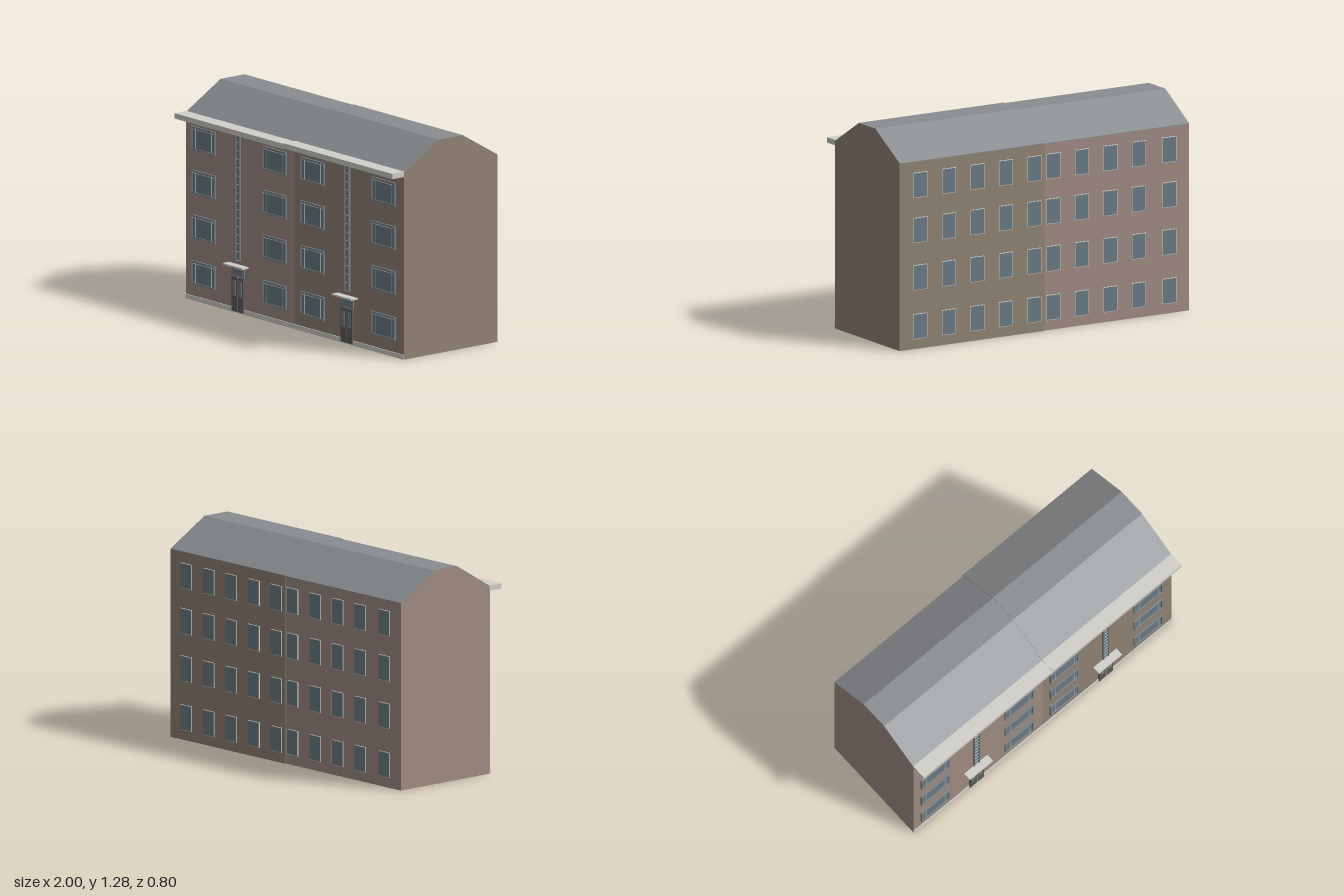
import * as THREE from 'three';

const mat = (color) => new THREE.MeshStandardMaterial({ color });
const M = {
  pink: mat(0xa08c83), tan: mat(0x918374), roof: mat(0x8a8d90), stone: mat(0xd0cfc9),
  glass: mat(0x6b7b84), frame: mat(0x7c8587), bar: mat(0xb4bcbe), door: mat(0x5e5c5b),
};
const FRONT = 0.31;

// Box given by its limits on each axis
function block(name, material, [x0, x1], [y0, y1], [z0, z1]) {
  const mesh = new THREE.Mesh(new THREE.BoxGeometry(x1 - x0, y1 - y0, z1 - z0), material);
  mesh.position.set((x0 + x1) / 2, (y0 + y1) / 2, (z0 + z1) / 2);
  mesh.name = name;
  return mesh;
}

// Extrudes a side profile of [z, y] points along x
function alongX(name, material, points, x0, x1) {
  const shape = new THREE.Shape(points.map(([z, y]) => new THREE.Vector2(-z, y)));
  const geometry = new THREE.ExtrudeGeometry(shape, { depth: x1 - x0, bevelEnabled: false });
  geometry.rotateY(Math.PI / 2).translate(x0, 0, 0);
  const mesh = new THREE.Mesh(geometry, material);
  mesh.name = name;
  return mesh;
}

// Wide street window: raised surround, glass and slim glazing bars
function frontWindow(x, y) {
  const g = new THREE.Group();
  g.name = 'frontWindow';
  const w = 0.22, h = 0.14, t = 0.009;
  const z = [FRONT - 0.005, FRONT + 0.011];
  g.add(block('glass', M.glass, [x, x + w], [y, y + h], [FRONT - 0.005, FRONT + 0.005]));
  g.add(block('sill', M.frame, [x, x + w], [y, y + t], z));
  g.add(block('head', M.frame, [x, x + w], [y + h - t, y + h], z));
  for (const sx of [x, x + w - t]) g.add(block('jamb', M.frame, [sx, sx + t], [y + t, y + h - t], z));
  for (const bx of [0.035, 0.182]) {
    g.add(block('mullion', M.bar, [x + bx, x + bx + 0.004], [y + t, y + h - t], [FRONT, FRONT + 0.008]));
  }
  g.add(block('transomBar', M.bar, [x + t, x + w - t], [y + h - 0.018, y + h - 0.015], [FRONT, FRONT + 0.008]));
  return g;
}

// Small rear window: shallow raised box with glass on its face
function backWindow(x, y, wallZ) {
  const g = new THREE.Group();
  g.name = 'backWindow';
  const w = 0.096, h = 0.15;
  g.add(block('frame', M.stone, [x - w / 2, x + w / 2], [y, y + h], [wallZ - 0.006, wallZ + 0.004]));
  g.add(block('glass', M.glass, [x - w / 2 + 0.003, x + w / 2 - 0.003], [y + 0.003, y + h - 0.003],
    [wallZ - 0.007, wallZ + 0.004]));
  return g;
}

// Doors, transom light, canopy and the tall stair window above
function entrance(x) {
  const g = new THREE.Group();
  g.name = 'entrance';
  const z0 = FRONT - 0.005;
  for (const s of [-1, 1]) {
    const edges = [x + s * 0.003, x + s * 0.053].sort((a, b) => a - b);
    g.add(block('doorLeaf', M.door, edges, [0.008, 0.215], [z0, FRONT + 0.012]));
    g.add(block('doorPanel', M.frame, [x + s * 0.028 - 0.014, x + s * 0.028 + 0.014], [0.1, 0.195],
      [z0, FRONT + 0.0135]));
  }
  g.add(block('doorStrip', M.bar, [x - 0.003, x + 0.003], [0.008, 0.215], [z0, FRONT + 0.01]));
  g.add(block('transomFrame', M.frame, [x - 0.056, x + 0.056], [0.22, 0.272], [z0, FRONT + 0.009]));
  g.add(block('transomGlass', M.glass, [x - 0.048, x + 0.048], [0.228, 0.264], [z0, FRONT + 0.011]));
  g.add(block('canopy', M.stone, [x - 0.09, x + 0.09], [0.281, 0.291], [z0, 0.36]));

  g.add(block('stairGlass', M.glass, [x - 0.018, x + 0.018], [0.315, 1.075], [z0, FRONT + 0.006]));
  for (const s of [-1, 1]) {
    const edges = [x + s * 0.016, x + s * 0.021].sort((a, b) => a - b);
    g.add(block('stairJamb', M.frame, edges, [0.315, 1.075], [z0, FRONT + 0.013]));
  }
  for (let i = 0; i <= 15; i++) {
    const y = 0.315 + i * (0.756 / 15);
    g.add(block('stairBar', M.bar, [x - 0.016, x + 0.016], [y, y + 0.004], [z0, FRONT + 0.01]));
  }
  return g;
}

// One half of the house, with small offsets between neighbours
function halfHouse({ name, material, x0, x1, back, drop, windows, door, rear }) {
  const g = new THREE.Group();
  g.name = name;
  const eave = 1.123 - drop, ridge = 1.28 - drop, t = 0.004;
  g.add(alongX('walls', material, [
    [FRONT, 0], [FRONT, eave - t], [0.05, ridge - t], [-0.13, ridge - t], [back, eave - t], [back, 0],
  ], x0, x1));
  g.add(alongX('roof', M.roof, [
    [FRONT, eave - t], [FRONT, eave], [0.05, ridge], [-0.13, ridge], [back, eave],
    [back, eave - t], [-0.13, ridge - t], [0.05, ridge - t],
  ], x0, x1));
  g.add(block('cornice', M.stone, [x0, x1], [1.095 - drop, 1.127 - drop], [FRONT - 0.002, 0.4]));
  g.add(block('plinth', M.stone, [x0, x1], [0, 0.028], [FRONT - 0.005, FRONT + 0.006]));
  for (const y of [0.1, 0.375, 0.643, 0.905]) {
    for (const x of windows) g.add(frontWindow(x, y));
  }
  for (const y of [0.06, 0.352, 0.635, 0.905]) {
    for (const x of rear) g.add(backWindow(x, y, back));
  }
  g.add(entrance(door));
  return g;
}

export function createModel() {
  const model = new THREE.Group();
  model.name = 'apartmentBlock';
  model.add(halfHouse({
    name: 'rightHalf', material: M.pink, x0: -1, x1: 0, back: -0.39, drop: 0.004,
    windows: [-0.945, -0.295], door: -0.517, rear: [-0.06, -0.257, -0.453, -0.65, -0.86],
  }));
  model.add(halfHouse({
    name: 'leftHalf', material: M.tan, x0: 0, x1: 1, back: -0.396, drop: 0,
    windows: [0.055, 0.705], door: 0.484, rear: [0.075, 0.27, 0.467, 0.664, 0.86],
  }));
  return model;
}
